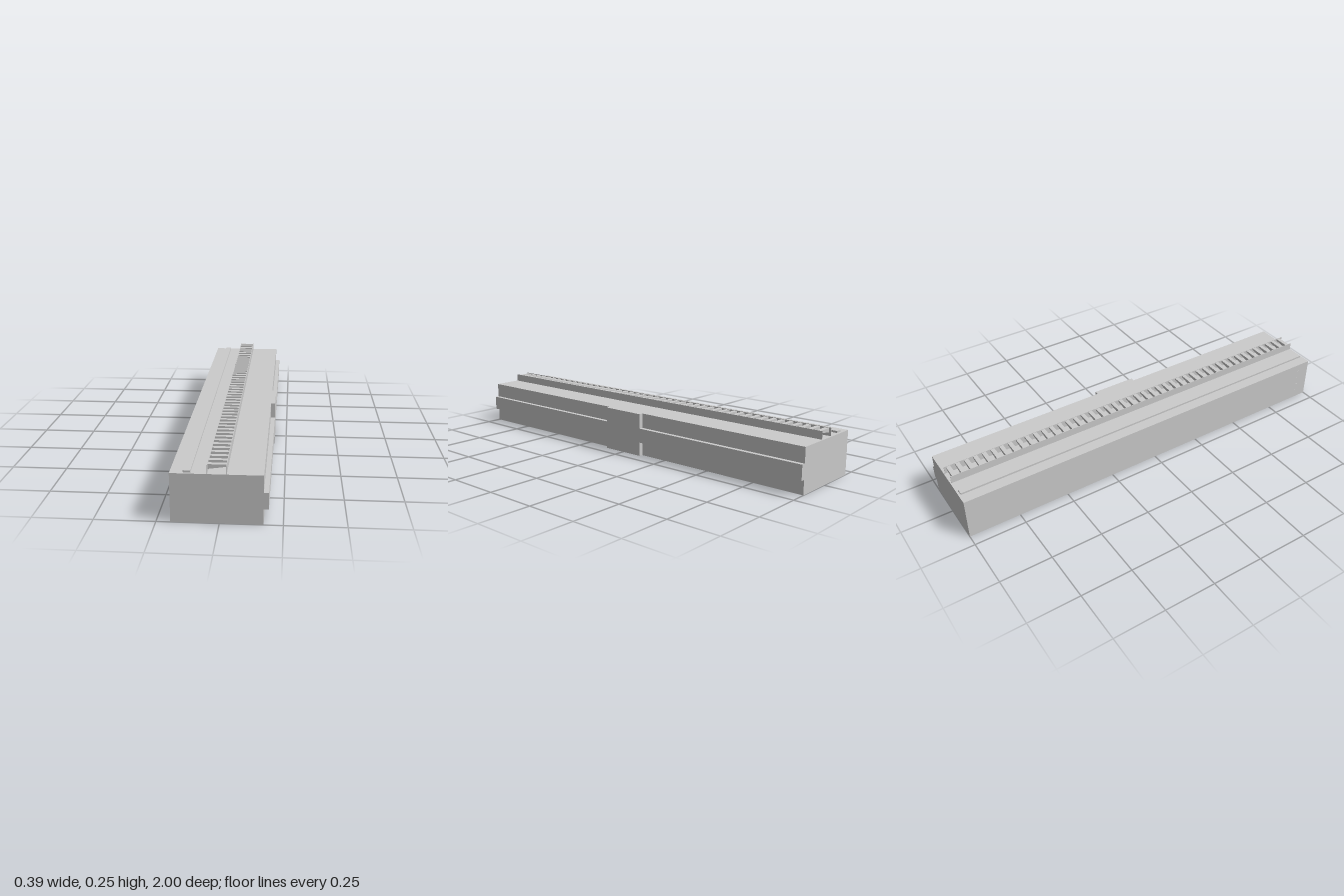
import * as THREE from 'three';

export function createModel() {
  const model = new THREE.Group();
  const mat = new THREE.MeshStandardMaterial({ color: 0xcccccc, flatShading: true });

  // Box given by its minimum and maximum corners
  function box(name, x0, x1, y0, y1, z0, z1, parent = model) {
    const mesh = new THREE.Mesh(new THREE.BoxGeometry(x1 - x0, y1 - y0, z1 - z0), mat);
    mesh.position.set((x0 + x1) / 2, (y0 + y1) / 2, (z0 + z1) / 2);
    mesh.name = name;
    parent.add(mesh);
    return mesh;
  }

  const top = 0.208;
  box('body', -0.193, 0.173, 0, top, -1, 1);

  // Side band with a taller pad in the middle, as one cross-shaped extrusion
  const h = 0.11, lo = 0.067, hi = 0.137;
  const outline = [[-1, lo], [-h, lo], [-h, 0], [h, 0], [h, lo], [1, lo],
    [1, hi], [h, hi], [h, top], [-h, top], [-h, hi], [-1, hi]];
  const bandShape = new THREE.Shape(outline.map(([z, y]) => new THREE.Vector2(z, y)));
  const band = new THREE.Mesh(
    new THREE.ExtrudeGeometry(bandShape, { depth: 0.021, bevelEnabled: false }), mat);
  band.rotation.y = Math.PI / 2;
  band.position.x = 0.172;
  band.name = 'sideBand';
  model.add(band);

  // Low rail on the top
  box('topRail', -0.14, -0.111, top, 0.217, -0.99, 0.99);

  // Ladder tray: two thin walls with sloped-bottom rungs between them
  const tray = new THREE.Group();
  tray.name = 'ladderTray';
  model.add(tray);
  const xl = -0.046, xr = 0.029;
  box('trayWallRight', xl - 0.001, xl + 0.001, top, 0.245, -0.995, 1, tray);
  box('trayWallLeft', xr - 0.001, xr + 0.001, top, 0.245, -0.995, 1, tray);
  const rungShape = new THREE.Shape([
    new THREE.Vector2(xl, 0.223), new THREE.Vector2(xr, 0.234),
    new THREE.Vector2(xr, 0.243), new THREE.Vector2(xl, 0.243)]);
  const rungDepth = 0.02;
  const rungGeo = new THREE.ExtrudeGeometry(rungShape, { depth: rungDepth, bevelEnabled: false });
  const count = 46;
  for (let i = 0; i < count; i++) {
    const rung = new THREE.Mesh(rungGeo, mat);
    rung.position.z = -0.985 + i * (1.97 - rungDepth) / (count - 1);
    rung.name = 'rung';
    tray.add(rung);
  }

  // Small studs near the front end of the plain side
  for (const y of [0.042, 0.084, 0.126, 0.168]) {
    box('sideStud', -0.195, -0.192, y - 0.003, y + 0.003, 0.925, 0.937);
  }
  return model;
}
